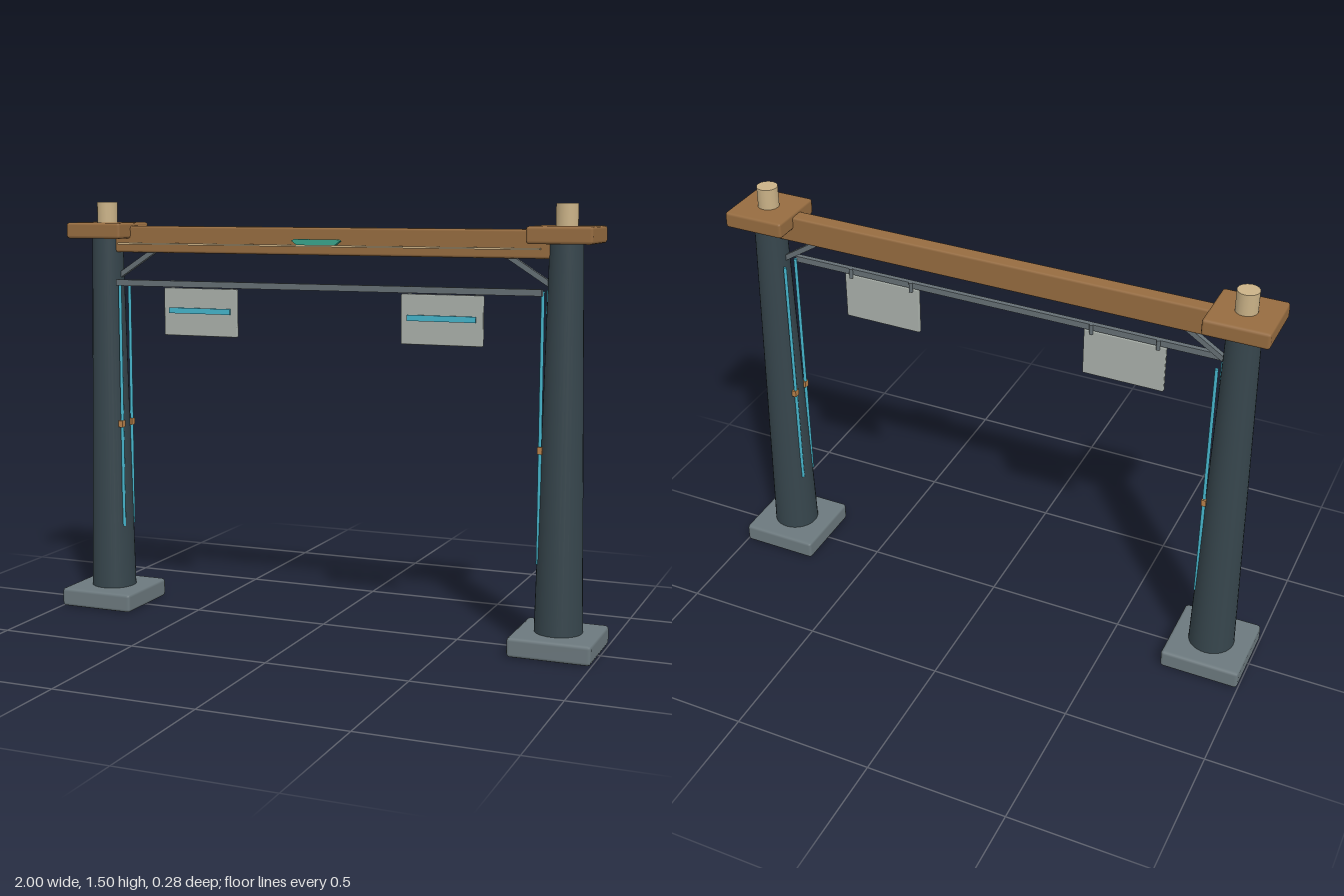
import * as THREE from 'three';
import { RoundedBoxGeometry } from 'three/addons/geometries/RoundedBoxGeometry.js';

const mat = (name, color) => {
  const m = new THREE.MeshStandardMaterial({ color });
  m.name = name;
  return m;
};

export function createModel() {
  const stone = mat('stone grey', 0x6c797e);
  const dark = mat('dark slate', 0x36454c);
  const wood = mat('wood', 0x966c40);
  const pale = mat('pale wood', 0xcab287);
  const steel = mat('steel grey', 0x656f74);
  const board = mat('board grey', 0xa9b0aa);
  const cyan = mat('cyan', 0x45b4cb);
  const green = mat('lamp green', 0x3aa58c);
  const copper = mat('copper', 0xb9814a);

  const model = new THREE.Group();
  model.name = 'gateway';

  const add = (name, geo, material, x, y, z) => {
    const mesh = new THREE.Mesh(geo, material);
    mesh.name = name;
    mesh.position.set(x, y, z);
    model.add(mesh);
    return mesh;
  };
  const box = (name, w, h, d, material, x, y, z) =>
    add(name, new THREE.BoxGeometry(w, h, d), material, x, y, z);
  const bevelled = (name, w, h, d, r, material, x, y, z) =>
    add(name, new RoundedBoxGeometry(w, h, d, 1, r), material, x, y, z);

  // Crossbeam with its thin ledge and the lamp in the middle
  bevelled('crossbeam', 1.62, 0.095, 0.056, 0.008, wood, 0, 1.362, 0);
  box('beamLedge', 1.56, 0.006, 0.018, pale, 0, 1.347, 0.051);
  const lampShape = new THREE.Shape([
    [-0.09, 0.005], [-0.07, -0.01], [0.07, -0.01], [0.09, 0.005], [0.08, 0.01], [-0.08, 0.01],
  ].map(([x, y]) => new THREE.Vector2(x, y)));
  add('lamp', new THREE.ExtrudeGeometry(lampShape, { depth: 0.02, bevelEnabled: false }),
    green, 0, 1.36, 0.053);

  // Rail that carries the boards
  box('rail', 1.58, 0.022, 0.018, steel, 0, 1.206, 0.051);

  for (const s of [-1, 1]) {
    const cx = s * 0.855;

    // Pillar: plinth, tapered shaft, cap and peg
    bevelled('plinth', 0.285, 0.068, 0.285, 0.012, stone, cx, 0.034, 0);
    add('shaft', new THREE.CylinderGeometry(0.055, 0.083, 1.3805, 32), dark, cx, 0.68975, 0);
    bevelled('cap', 0.22, 0.057, 0.22, 0.01, wood, cx, 1.393, 0);
    add('peg', new THREE.CylinderGeometry(0.037, 0.037, 0.09, 16), pale, cx, 1.45, 0);

    // Diagonal brace under the beam
    const brace = box('brace', 0.17, 0.018, 0.018, steel, s * 0.735, 1.274, 0);
    brace.rotation.z = -s * Math.atan2(0.08, 0.125);

    // Conduits on the inner side, each with a clip
    for (const z of [-0.035, 0.035]) {
      add('conduit', new THREE.CylinderGeometry(0.006, 0.006, 0.91, 8), cyan, s * 0.788, 0.755, z);
      box('clip', 0.016, 0.024, 0.022, copper, s * 0.79, 0.685, z);
    }

    // Hanging board with a stripe and two hangers
    bevelled('board', 0.288, 0.17, 0.016, 0.004, board, s * 0.45, 1.107, 0.051);
    box('boardStripe', 0.24, 0.02, 0.009, cyan, s * 0.45, 1.112, 0.0625);
    for (const dx of [-0.117, 0.117]) {
      add('hanger', new THREE.CylinderGeometry(0.007, 0.007, 0.036, 8), steel,
        s * 0.45 + dx, 1.2, 0.041);
    }
  }
  return model;
}
